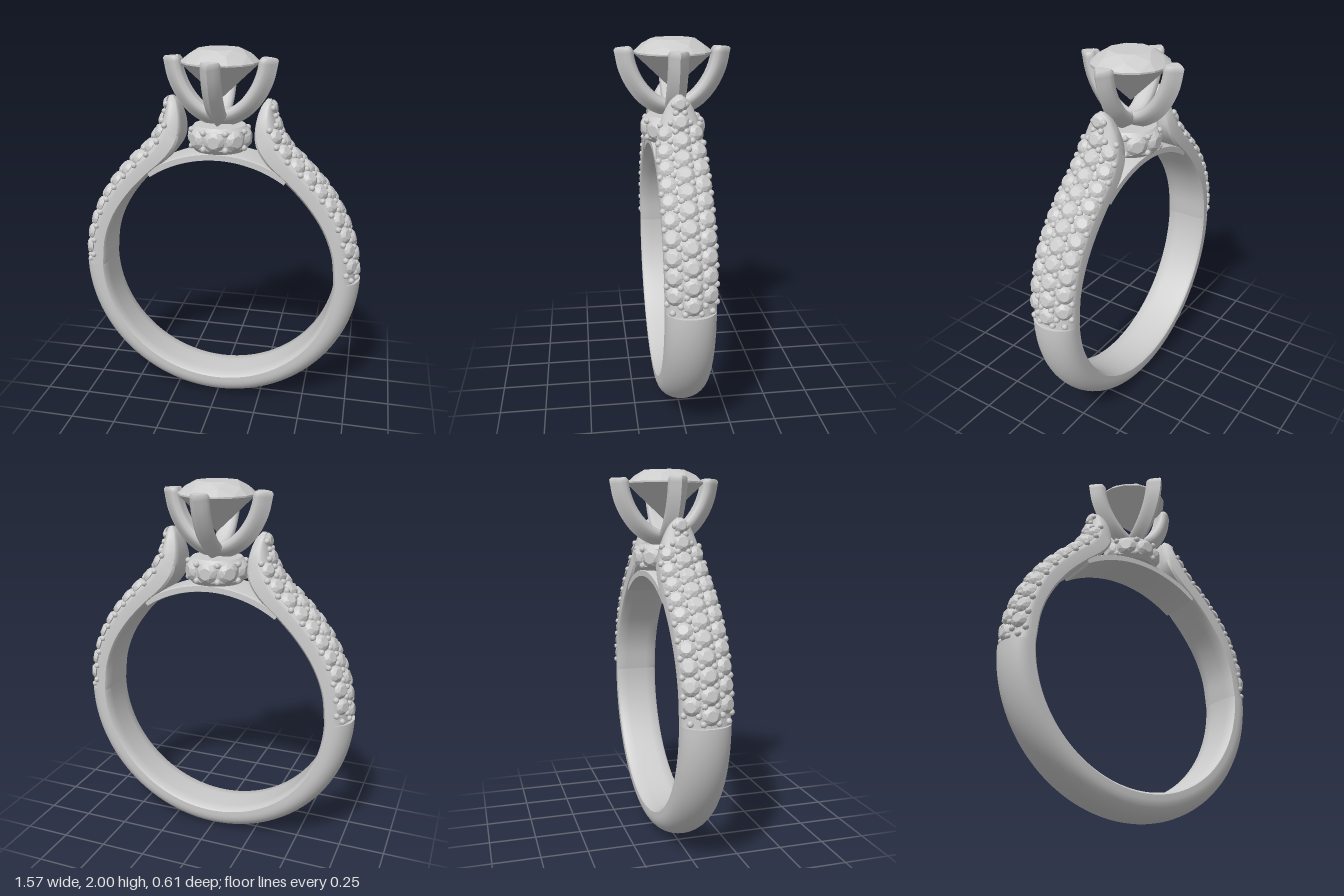
import * as THREE from 'three';
import { mergeGeometries, toCreasedNormals } from 'three/addons/utils/BufferGeometryUtils.js';
import { ConvexGeometry } from 'three/addons/geometries/ConvexGeometry.js';

const CY = 0.79; // centre height of the finger hole
const metal = new THREE.MeshStandardMaterial({ color: 0xcccccc });
const stone = new THREE.MeshStandardMaterial({ color: 0xcccccc, flatShading: true });
const V = (x, y, z = 0) => new THREE.Vector3(x, y, z);

function mesh(name, geo, mat = metal) {
  const m = new THREE.Mesh(geo, mat);
  m.name = name;
  return m;
}

// D-shaped cross-section as [s, z]: s runs from inner (0) to outer (top), z from -1 to 1
function dSection(side, top = 1) {
  const pts = [[0.02, -0.9], [0, -0.5], [0, 0.5], [0.02, 0.9], [0.1, 1]];
  for (let i = 0; i <= 16; i++) {
    const a = (i / 16) * Math.PI;
    pts.push([side + (top - side) * Math.sin(a), Math.cos(a)]);
  }
  pts.push([0.1, -1]);
  return pts;
}

// Station = inner point, outer point, half width. Section points are placed between them.
function place(st, s, z) {
  const p = st.inner.clone().lerp(st.outer, s);
  p.z = z * st.w;
  return p;
}

// Closed sweep of a section over stations, capped at both ends
function sweep(stations, sectionAt, crease = 0.7) {
  const pos = [], idx = [];
  const n = sectionAt(0).length, last = stations.length - 1;
  stations.forEach((st, i) => {
    for (const [s, z] of sectionAt(i / last)) pos.push(...place(st, s, z).toArray());
  });
  for (let i = 0; i < last; i++) for (let j = 0; j < n; j++) {
    const k = (j + 1) % n, a = i * n, b = a + n;
    idx.push(a + j, a + k, b + k, a + j, b + k, b + j);
  }
  [0, last].forEach((row) => {
    const c = pos.length / 3, st = stations[row];
    pos.push(...place(st, 0.4, 0).toArray());
    for (let j = 0; j < n; j++) {
      const a = row * n + j, b = row * n + (j + 1) % n;
      if (row) idx.push(c, a, b); else idx.push(c, b, a);
    }
  });
  const g = new THREE.BufferGeometry();
  g.setAttribute('position', new THREE.Float32BufferAttribute(pos, 3));
  g.setIndex(idx);
  return toCreasedNormals(g, crease);
}

// Stations along a circular arc, angles in degrees
function arc(a0, a1, count, rIn, rOut, w) {
  return Array.from({ length: count + 1 }, (_, i) => {
    const a = THREE.MathUtils.degToRad(a0 + (a1 - a0) * i / count);
    const at = (r) => V(r * Math.cos(a), CY + r * Math.sin(a));
    return { inner: at(rIn), outer: at(rOut), w };
  });
}

// Stations between an inner and an outer curve; z of the outer curve carries the half width
function rail(innerPts, outerPts) {
  const inner = new THREE.CatmullRomCurve3(innerPts.map((p) => V(...p)));
  const outer = new THREE.CatmullRomCurve3(outerPts.map((p) => V(...p)));
  const at = (t) => {
    const o = outer.getPoint(t);
    return { inner: inner.getPoint(t), outer: V(o.x, o.y), w: o.z };
  };
  return { at, outer };
}

// Round brilliant: girdle at y = 0, table above, point below
function brilliant(r, crown, depth) {
  const pts = [V(0, -depth, 0)];
  const ring = (n, rad, y, off) => {
    for (let i = 0; i < n; i++) {
      const a = ((i + off) / n) * Math.PI * 2;
      pts.push(V(rad * Math.cos(a), y, rad * Math.sin(a)));
    }
  };
  ring(8, r * 0.56, crown, 0);
  ring(8, r * 0.8, crown * 0.58, 0.5);
  ring(16, r, 0, 0);
  ring(16, r, -r * 0.04, 0);
  return new ConvexGeometry(pts);
}

const UP = V(0, 1, 0);
function setOn(geo, p, normal, scale = 1) {
  const q = new THREE.Quaternion().setFromUnitVectors(UP, normal);
  return geo.clone().applyMatrix4(new THREE.Matrix4().compose(p, q, V(scale, scale, scale)));
}

const paveGem = brilliant(1, 0.42, 0.5);
const bead = new THREE.SphereGeometry(0.017, 8, 6);

// Shoulder rising from the band to a pointed, outward-curling tip
const shoulder = rail(
  [[0.645, 0.79], [0.625, 0.95], [0.57, 1.09], [0.48, 1.22], [0.37, 1.335],
    [0.265, 1.43], [0.207, 1.52], [0.2, 1.62], [0.224, 1.715], [0.25, 1.752]],
  [[0.785, 0.79, 0.125], [0.76, 0.97, 0.125], [0.705, 1.125, 0.125], [0.61, 1.285, 0.125], [0.49, 1.42, 0.125],
    [0.395, 1.515, 0.122], [0.338, 1.605, 0.11], [0.308, 1.68, 0.085], [0.29, 1.735, 0.045], [0.278, 1.75, 0.012]]
);
const TOP = 0.87; // recessed seat below the stones
const sideAt = (t) => 0.3 + 0.18 * THREE.MathUtils.smoothstep(t, 0, 0.3);

// Point and outward normal on the shoulder's dome
function onDome(t, zf) {
  const f = (tt, z) => place(shoulder.at(tt), sideAt(tt) + (TOP - sideAt(tt)) * Math.sqrt(1 - z * z), z);
  const p = f(t, zf), e = 0.004;
  const dt = f(Math.min(1, t + e), zf).sub(f(t - e, zf));
  const dz = f(t, zf + 0.02).sub(f(t, zf - 0.02));
  return { p, n: dt.cross(dz).normalize() };
}

function buildShoulder() {
  const g = new THREE.Group();
  const stations = Array.from({ length: 41 }, (_, i) => shoulder.at(i / 40));
  g.add(mesh('shoulderMetal', sweep(stations, (t) => dSection(sideAt(t), TOP))));

  // Three staggered rows of stones with beads in the gaps
  const gems = [], beads = [];
  const len = shoulder.outer.getLength(), step = 0.093;
  const put = (list, geo, d, zf, scale) => {
    const t = shoulder.outer.getUtoTmapping(d / len);
    const { p, n } = onDome(t, zf);
    list.push(setOn(geo, p.addScaledVector(n, 0.002), n, scale));
  };
  for (let d = 0.06; d < len - 0.05; d += step) {
    const wAt = (x) => shoulder.at(shoulder.outer.getUtoTmapping(Math.min(1, x / len))).w;
    const w = wAt(d), half = d + step / 2;
    put(gems, paveGem, d, 0, Math.min(0.047, w * 0.62));
    for (const s of [-1, 1]) {
      put(beads, bead, d, s * 0.46);
      if (w > 0.075) put(beads, bead, d, s * 0.93);
      if (half < len - 0.05) {
        put(beads, bead, half, s * 0.24);
        if (wAt(half) > 0.09) put(gems, paveGem, half, s * 0.7, 0.045 * wAt(half) / 0.125);
      }
    }
  }
  // Bead line closing the start of the setting
  for (const z of [-0.75, -0.3, 0.3, 0.75]) put(beads, bead, 0.022, z);
  g.add(mesh('paveStones', mergeGeometries(gems), stone), mesh('paveBeads', mergeGeometries(beads)));
  return g;
}

// Collar under the head, set with a ring of stones
function buildCollar() {
  const g = new THREE.Group();
  g.name = 'collar';
  const profile = [[0, 1.475], [0.135, 1.475], [0.152, 1.495], [0.152, 1.59], [0.135, 1.61], [0, 1.61]];
  const body = new THREE.LatheGeometry(profile.map((p) => new THREE.Vector2(...p)), 48);
  g.add(mesh('collarBody', toCreasedNormals(body, 0.5)));
  const gems = [], beads = [];
  for (let i = 0; i < 8; i++) {
    const dir = (a) => V(Math.sin(a), 0, Math.cos(a));
    const n = dir(i * Math.PI / 4), m = dir((i + 0.5) * Math.PI / 4);
    gems.push(setOn(paveGem, n.clone().multiplyScalar(0.146).setY(1.543), n, 0.056));
    for (const y of [1.5, 1.586]) beads.push(setOn(bead, m.clone().multiplyScalar(0.152).setY(y), m));
  }
  g.add(mesh('collarStones', mergeGeometries(gems), stone), mesh('collarBeads', mergeGeometries(beads)));
  return g;
}

// Curved claw with a pointed outer ridge and a notched inner face
function prongGeometry() {
  const path = rail(
    [[0, 1.68], [0.06, 1.7], [0.12, 1.75], [0.168, 1.82], [0.195, 1.89], [0.205, 1.945]],
    [[0, 1.6, 0.04], [0.08, 1.612, 0.048], [0.17, 1.665, 0.052], [0.237, 1.745, 0.052], [0.282, 1.84, 0.052], [0.304, 1.945, 0.052]]
  );
  const half = [[0, 0.4], [0.08, 0.8], [0.28, 1], [0.5, 0.85], [0.72, 0.5], [0.88, 0.2]];
  const section = [[0.1, 0], ...half, [1, 0], ...half.map(([s, z]) => [s, -z]).reverse()];
  const stations = Array.from({ length: 25 }, (_, i) => path.at(i / 24));
  // softened tip
  stations.push({ inner: V(0.215, 1.958), outer: V(0.294, 1.956), w: 0.044 });
  return sweep(stations, () => section, 0.9);
}

export function createModel() {
  const model = new THREE.Group();
  model.name = 'ring';

  model.add(mesh('band', sweep(arc(-180, 0, 72, 0.645, 0.785, 0.125), () => dSection(0.3))));
  model.add(mesh('bridge', sweep(arc(56, 124, 28, 0.645, 0.688, 0.12), () => dSection(0.8))));

  for (const [name, turn] of [['leftShoulder', 0], ['rightShoulder', Math.PI]]) {
    const s = buildShoulder();
    s.name = name;
    s.rotation.y = turn;
    model.add(s);
  }

  model.add(buildCollar());

  // Four prongs holding the centre stone
  const head = new THREE.Group();
  head.name = 'head';
  const prong = prongGeometry();
  for (let i = 0; i < 4; i++) {
    const p = mesh('prong', prong);
    p.rotation.y = i * Math.PI / 2;
    head.add(p);
  }
  const centre = mesh('centreStone', brilliant(0.205, 0.063, 0.2), stone);
  centre.position.y = 1.937;
  head.add(centre);
  model.add(head);
  return model;
}
